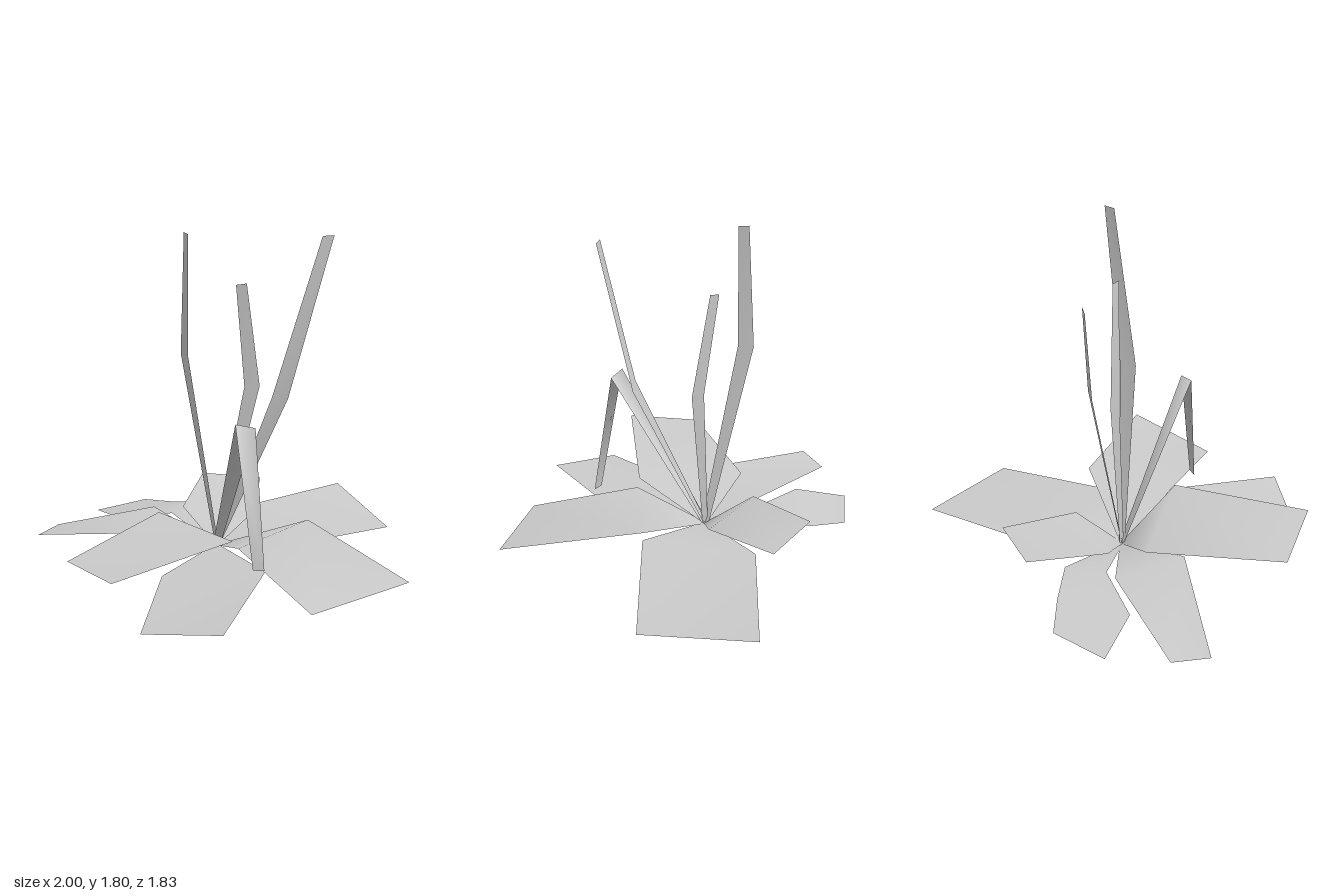
import * as THREE from 'three';

const material = new THREE.MeshStandardMaterial({ color: 0xcccccc, side: THREE.DoubleSide });
const CROWN = new THREE.Vector3(-0.065, 0.03, -0.125);

// Strip of quads growing from the crown; each row is [left point, right point]
function strip(name, rows, baseWidth) {
  const first = rows[0].map((p) => new THREE.Vector3(...p));
  const across = first[1].clone().sub(first[0]).setLength(baseWidth / 2);
  const base = [CROWN.clone().sub(across), CROWN.clone().add(across)];
  const points = [...base, ...rows.flat().map((p) => new THREE.Vector3(...p))];
  const index = [];
  for (let i = 0; i < rows.length; i++) {
    const a = i * 2;
    index.push(a, a + 1, a + 3, a, a + 3, a + 2);
  }
  const geometry = new THREE.BufferGeometry().setFromPoints(points);
  geometry.setIndex(index);
  geometry.computeVertexNormals();
  const mesh = new THREE.Mesh(geometry, material);
  mesh.name = name;
  return mesh;
}

// Broad leaves: middle corners, then tip corners (left, right seen from the crown)
const LEAVES = {
  leafRight: [
    [[0.28, 0.08, -0.445], [0.25, 0.085, 0.18]],
    [[1.0, 0.07, -0.53], [0.96, 0.01, 0.08]],
  ],
  leafFront: [
    [[0.36, 0.205, 0.16], [-0.14, 0.185, 0.28]],
    [[0.505, 0.12, 0.91], [-0.05, 0.06, 0.88]],
  ],
  leafLeft: [
    [[-0.17, 0.23, 0.275], [-0.34, 0.215, -0.3]],
    [[-0.92, 0.245, 0.47], [-1.0, 0.205, 0.055]],
  ],
  leafBackLeft: [
    [[-0.5, 0.17, -0.17], [-0.28, 0.16, -0.51]],
    [[-0.94, 0.065, -0.64], [-0.78, 0.05, -0.765]],
  ],
  leafFrontLeft: [
    [[-0.03, 0.07, 0.38], [-0.5, 0.03, 0.1]],
    [[-0.525, 0.065, 0.87], [-0.82, 0.0, 0.57]],
  ],
  leafBack: [
    [[-0.19, 0.12, -0.46], [0.02, 0.12, -0.55]],
    [[-0.445, 0.075, -0.62], [-0.06, 0.07, -0.73]],
    [[-0.485, 0.03, -0.91], [-0.17, 0.04, -0.915]],
  ],
  leafBackRight: [
    [[-0.15, 0.18, -0.39], [0.21, 0.165, -0.18]],
    [[0.14, 0.225, -0.725], [0.445, 0.2, -0.55]],
  ],
};

// Tall narrow blades, one of them folded over
const BLADES = {
  bladeTall: [
    [[0.08, 0.97, 0.235], [0.18, 0.95, 0.23]],
    [[0.295, 1.805, 0.35], [0.36, 1.805, 0.355]],
  ],
  bladeBack: [
    [[-0.155, 1.1, -0.28], [-0.16, 1.1, -0.365]],
    [[-0.15, 1.765, -0.27], [-0.15, 1.77, -0.325]],
  ],
  bladeShort: [
    [[0.115, 0.93, -0.135], [0.18, 0.94, -0.08]],
    [[0.1, 1.485, -0.205], [0.145, 1.495, -0.165]],
  ],
  bladeFolded: [
    [[-0.2, 0.905, 0.365], [-0.11, 0.885, 0.41]],
    [[-0.17, 0.16, 0.5], [-0.12, 0.16, 0.53]],
  ],
};

export function createModel() {
  const group = new THREE.Group();
  group.name = 'plant';
  for (const [name, rows] of Object.entries(LEAVES)) group.add(strip(name, rows, 0.02));
  for (const [name, rows] of Object.entries(BLADES)) group.add(strip(name, rows, 0.04));

  // Short stem under the crown
  const stem = new THREE.Mesh(new THREE.CylinderGeometry(0.027, 0.022, 0.03, 6), material);
  stem.name = 'stem';
  stem.position.set(CROWN.x, 0.015, CROWN.z);
  group.add(stem);
  return group;
}
